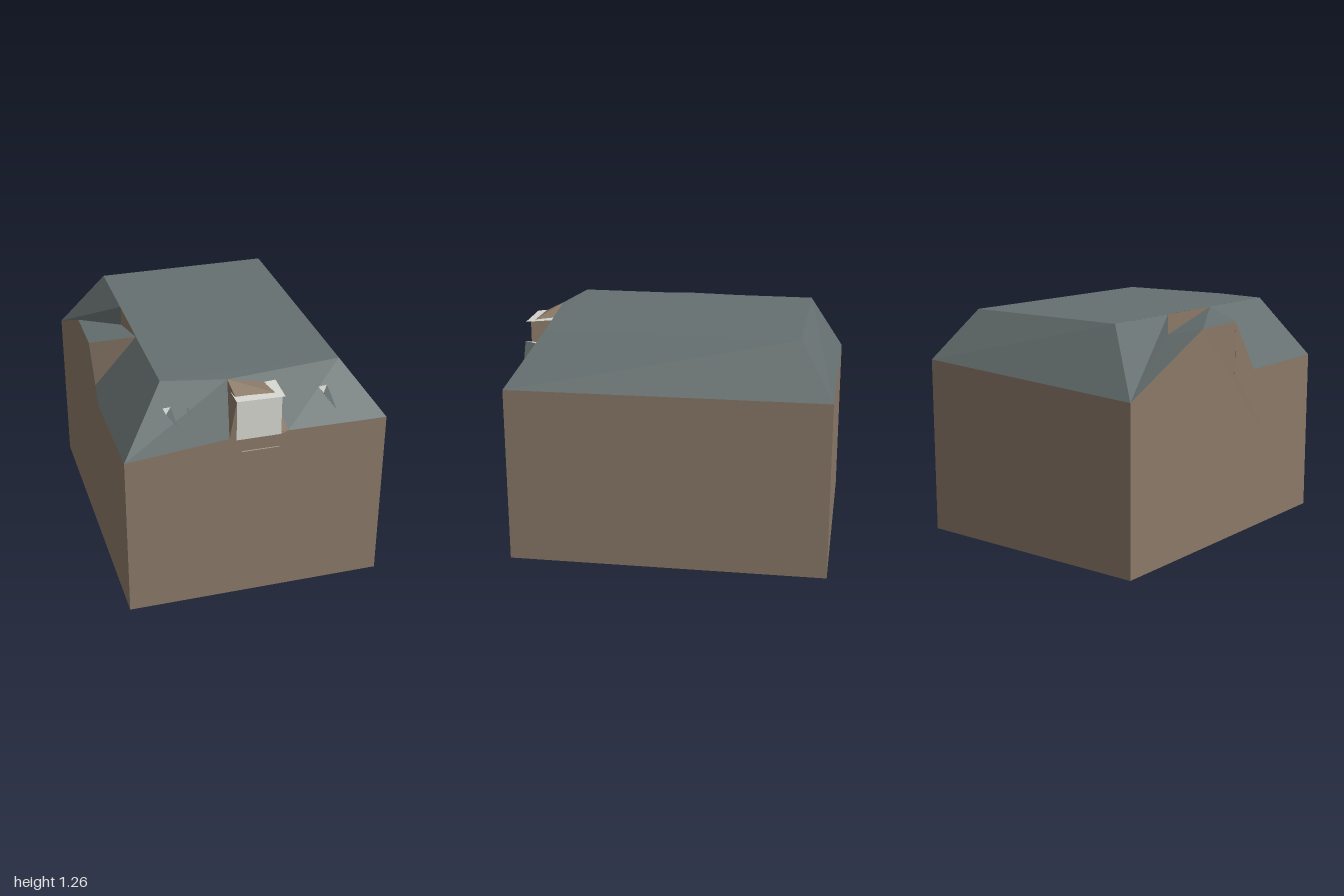
import * as THREE from 'three';

const material = (name, color) => {
  const m = new THREE.MeshStandardMaterial({ color, side: THREE.DoubleSide });
  m.name = name;
  return m;
};

// Flat mesh from planar polygons, each a fan starting at its first corner
function panels(name, mat, ...polygons) {
  const coords = [];
  for (const p of polygons)
    for (let i = 1; i < p.length - 1; i++) coords.push(...p[0], ...p[i], ...p[i + 1]);
  const geo = new THREE.BufferGeometry();
  geo.setAttribute('position', new THREE.Float32BufferAttribute(coords, 3));
  geo.computeVertexNormals();
  const mesh = new THREE.Mesh(geo, mat);
  mesh.name = name;
  return mesh;
}

export function createModel() {
  const group = new THREE.Group();
  group.name = 'house';
  const wall = material('brown wall', 0x8a7867);
  const slate = material('grey slate', 0x667070);
  const white = material('off white', 0xd6d6cf);
  const add = (...args) => group.add(panels(...args));
  const ground = ([x, , z]) => [x, 0, z];

  // Eave corners and flat roof corners
  const eBL = [-0.495, 0.91, -1], eBR = [0.863, 0.975, -0.7];
  const eFR = [0.493, 0.97, 0.995], eFL = [-0.865, 0.92, 0.677];
  const rBL = [-0.3, 1.255, -0.77], rBR = [0.64, 1.252, -0.56];
  const rFR = [0.333, 1.252, 0.765], rFL = [-0.597, 1.257, 0.553];

  // Side dormer corners
  const sTop = [-0.397, 1.255, -0.33], sLow = [-0.397, 1.145, -0.33], sRidge = [-0.485, 1.256, 0.05];
  const sBack = [-0.626, 1.2, -0.4], sFront = [-0.695, 1.205, -0.1], sFoot = [-0.695, 0.915, -0.1];

  // Front dormer opening in the slope
  const oL = [-0.335, 0.975, 0.8], oPeak = [-0.288, 1.252, 0.69];
  const oTR = [-0.08, 1.205, 0.74], oR = [-0.03, 0.975, 0.872];

  // Point measured along the front wall, out from it, and up
  const front = (s, out, y) => [eFL[0] + 0.974 * s - 0.226 * out, y, eFL[2] + 0.226 * s + 0.974 * out];

  // Walls, open underneath
  add('frontWall', wall, [ground(eFL), ground(eFR), eFR, oR, oL, eFL]);
  add('rightWall', wall, [ground(eFR), ground(eBR), eBR, eFR]);
  add('backWall', wall, [ground(eBR), ground(eBL), eBL, eBR]);
  add('sideWall', wall, [ground(eFL), eFL, sFoot, sFront, sBack, eBL, ground(eBL)]);

  // Roof
  add('flatRoof', slate, [rFL, rFR, rBR, rBL]);
  add('rightSlope', slate, [eFR, eBR, rBR, rFR]);
  add('backSlope', slate, [eBR, eBL, rBL, rBR]);
  add('frontSlope', slate, [eFL, oL, oPeak, rFL], [rFL, oPeak, rFR], [oPeak, oTR, rFR], [oR, eFR, rFR, oTR]);
  add('sideSlope', slate, [eBL, sLow, sTop, rBL], [sFoot, eFL, rFL, sRidge]);

  // Side dormer
  add('sideDormerRoof', slate, [eBL, sBack, sLow], [sBack, sFront, sRidge, sLow]);
  add('sideDormerCheeks', wall, [sFoot, sRidge, sFront], [sLow, sRidge, sTop]);

  // Front dormer: white window, cheeks back to the opening, and a small canopy
  const wBL = front(0.58, 0.005, 0.963), wBR = front(0.817, 0.005, 0.963);
  const wTR = front(0.817, 0.005, 1.192), wTL = front(0.58, 0.005, 1.192);
  add('dormerWindow', white, [wBL, wBR, wTR, wTL]);
  add('dormerCheeks', wall, [oL, wBL, wTL, oPeak], [oPeak, wTL, wTR, oTR], [wBR, oR, oTR, wTR]);
  add('dormerCanopy', white, [front(0.57, 0.03, 1.2), front(0.824, 0.032, 1.195),
    front(0.822, -0.128, 1.21), front(0.567, -0.127, 1.21)]);
  add('windowSill', wall, [front(0.61, 0.004, 0.888), front(0.81, 0.004, 0.888),
    front(0.81, 0, 0.892), front(0.61, 0, 0.892)]);

  // Two small wedge vents on the front slope
  for (const [x, z] of [[-0.637, 0.695], [0.165, 0.885]]) {
    const tip = [x, 1.147, z], backL = [x + 0.018, 1.142, z - 0.076];
    const backR = [x + 0.062, 1.147, z - 0.064], foot = [x + 0.094, 1.012, z + 0.012];
    add('ventTop', white, [tip, backR, backL]);
    add('ventSides', slate, [tip, foot, backR], [tip, backL, foot]);
  }
  add('ventSliver', slate, [[-0.52, 1.146, 0.69], [-0.51, 1.1, 0.71], [-0.503, 1.146, 0.68]]);
  return group;
}
